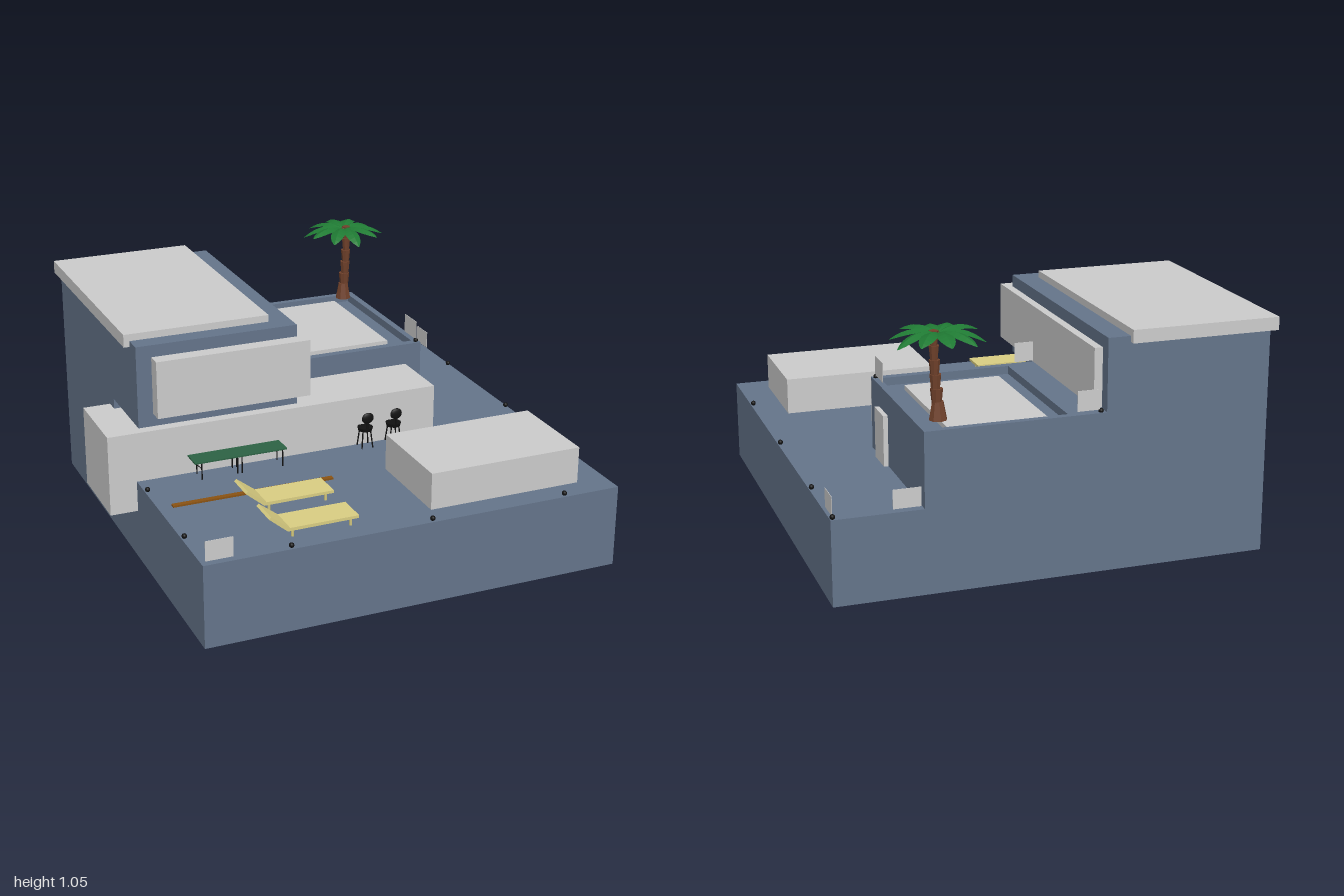
import * as THREE from 'three';

const mat = (color, extra = {}) => new THREE.MeshStandardMaterial({ color, ...extra });
const GREY = mat(0xcccccc);
const SLATE = mat(0x64748a);
const BLACK = mat(0x111111);
const WOOD = mat(0x8a5212);
const CUSHION = mat(0xd9cd82);
const GREEN = mat(0x2d6244);
const BARK = mat(0x70412b, { flatShading: true });
const LEAF = mat(0x1f7a33, { flatShading: true, side: THREE.DoubleSide });

export function createModel() {
  const model = new THREE.Group();

  const add = (name, geometry, material, parent = model) => {
    const mesh = new THREE.Mesh(geometry, material);
    mesh.name = name;
    parent.add(mesh);
    return mesh;
  };
  // Box given by its limits on each axis
  const block = (name, material, [x0, x1], [y0, y1], [z0, z1], parent) => {
    const mesh = add(name, new THREE.BoxGeometry(x1 - x0, y1 - y0, z1 - z0), material, parent);
    mesh.position.set((x0 + x1) / 2, (y0 + y1) / 2, (z0 + z1) / 2);
    return mesh;
  };
  // Thin rod between two points
  const rod = (name, a, b, r, material, parent) => {
    const curve = new THREE.LineCurve3(new THREE.Vector3(...a), new THREE.Vector3(...b));
    return add(name, new THREE.TubeGeometry(curve, 1, r, 6), material, parent);
  };

  // Plinth and main volumes
  block('plinth', SLATE, [-0.86, 0.975], [0, 0.36], [-0.9, 1]);
  block('lowerHouse', SLATE, [-0.86, 0.6], [0.36, 0.64], [-0.9, -0.12]);
  block('frontWing', GREY, [-0.98, 0.525], [0.225, 0.58], [-0.18, 0.175]);
  block('upperHouse', SLATE, [-0.86, -0.155], [0.625, 0.98], [-0.9, 0.23]);
  block('upperGlazing', GREY, [-0.795, -0.12], [0.68, 0.928], [-0.845, 0.293]);
  block('upperRoof', GREY, [-0.885, -0.25], [0.955, 1.01], [-0.925, 0.15]);
  block('pool', GREY, [0.157, 0.84], [0.36, 0.52], [0.46, 0.895]);
  block('sideDoor', GREY, [0.59, 0.62], [0.36, 0.58], [-0.375, -0.24]);

  // Parapet around the sunken terrace roof
  const rectangle = (P, x0, x1, z0, z1) => new P([
    new THREE.Vector2(x0, -z0), new THREE.Vector2(x0, -z1),
    new THREE.Vector2(x1, -z1), new THREE.Vector2(x1, -z0)]);
  const rim = rectangle(THREE.Shape, -0.86, 0.6, -0.9, -0.12);
  rim.holes.push(rectangle(THREE.Path, 0, 0.57, -0.87, -0.155));
  const rimGeometry = new THREE.ExtrudeGeometry(rim, { depth: 0.035, bevelEnabled: false });
  add('parapet', rimGeometry.rotateX(-Math.PI / 2), SLATE).position.y = 0.64;
  block('roofPanel', GREY, [0.07, 0.487], [0.64, 0.66], [-0.845, -0.235]);

  // Railing panels
  const t = 0.001;
  const panels = [
    [[-0.845, -0.73], [0.37, 0.455], [0.985 - t, 0.985 + t]],
    [[0.965 - t, 0.965 + t], [0.37, 0.45], [-0.885, -0.775]],
    [[0.61, 0.725], [0.37, 0.45], [-0.887 - t, -0.887 + t]],
    [[-0.13, -0.035], [0.685, 0.77], [-0.885 - t, -0.885 + t]],
    [[-0.13, -0.035], [0.685, 0.77], [-0.14 - t, -0.14 + t]],
    [[0.585 - t, 0.585 + t], [0.685, 0.77], [-0.255, -0.135]],
  ];
  for (const p of panels) block('railingPanel', GREY, ...p);

  // Round lamps along the edges
  const lamps = [
    [0.965, 0.37, -0.89], [0.965, 0.37, -0.54], [0.965, 0.37, 0.045], [0.965, 0.37, 0.635],
    [-0.49, 0.37, 0.985], [0.12, 0.37, 0.985], [0.725, 0.37, 0.985],
    [-0.848, 0.37, 0.285], [-0.848, 0.37, 0.75],
    [-0.135, 0.68, -0.885], [0.585, 0.68, -0.14],
  ];
  for (const p of lamps) {
    add('edgeLamp', new THREE.SphereGeometry(0.011, 10, 8), BLACK).position.set(...p);
  }

  // Wooden strip and loungers
  block('woodStrip', WOOD, [-0.8, -0.09], [0.36, 0.368], [0.45, 0.473]);
  const profile = new THREE.Shape([
    [-0.555, 0.458], [-0.545, 0.466], [-0.465, 0.405], [-0.17, 0.405],
    [-0.17, 0.393], [-0.475, 0.391]].map(p => new THREE.Vector2(...p)).reverse());
  for (const z of [0.525, 0.777]) {
    const lounger = new THREE.Group();
    lounger.name = 'lounger';
    model.add(lounger);
    const seat = new THREE.ExtrudeGeometry(profile, { depth: 0.134, bevelEnabled: false });
    add('loungerSeat', seat, CUSHION, lounger).position.z = z;
    for (const x of [-0.45, -0.2]) {
      for (const dz of [0.015, 0.119]) {
        rod('loungerLeg', [x, 0.36, z + dz], [x, 0.395, z + dz], 0.006, CUSHION, lounger);
      }
    }
  }

  // Games table
  const table = new THREE.Group();
  table.name = 'gamesTable';
  model.add(table);
  block('tableTop', GREEN, [-0.635, -0.22], [0.44, 0.446], [0.18, 0.275], table);
  for (const z of [0.195, 0.26]) {
    for (const x of [-0.6, -0.44, -0.42, -0.235]) {
      rod('tableLeg', [x, 0.36, z], [x, 0.442, z], 0.003, BLACK, table);
    }
    rod('tableBrace', [-0.6, 0.41, z], [-0.63, 0.44, z], 0.002, BLACK, table);
  }

  // Bar stools with round backs
  for (const x of [0.177, 0.313]) {
    const stool = new THREE.Group();
    stool.name = 'barStool';
    stool.position.set(x, 0.36, 0.205);
    model.add(stool);
    add('stoolSeat', new THREE.CylinderGeometry(0.034, 0.03, 0.016, 20), BLACK, stool).position.y = 0.085;
    const back = add('stoolBack', new THREE.SphereGeometry(0.028, 16, 10), BLACK, stool);
    back.scale.set(1, 0.9, 0.35);
    back.position.set(0, 0.142, 0.026);
    rod('backPost', [0, 0.085, 0.028], [0, 0.13, 0.028], 0.005, BLACK, stool);
    for (const sx of [-1, 1]) {
      for (const sz of [-1, 1]) {
        rod('stoolLeg', [sx * 0.026, 0, sz * 0.026], [sx * 0.018, 0.08, sz * 0.018], 0.003, BLACK, stool);
      }
    }
  }

  // Palm: stacked flared trunk rings, each wider at its top
  const palm = new THREE.Group();
  palm.name = 'palm';
  palm.position.set(0.512, 0.69, -0.805);
  model.add(palm);
  const rings = 6;
  for (let i = 0; i < rings; i++) {
    const r = 0.027 - i * 0.0015;
    const geometry = i === 0
      ? new THREE.CylinderGeometry(0.023, 0.037, 0.075, 8)
      : new THREE.CylinderGeometry(r, r - 0.006, 0.062, 8);
    const ring = add('trunkRing', geometry, BARK, palm);
    ring.position.set(0.003 + 0.014 * Math.sin(i / 3), 0.035 + i * 0.058, 0);
    ring.rotation.y = i * 0.4;
  }

  // Palm fronds: folded petals that rise, then droop
  const fronds = 10;
  for (let i = 0; i < fronds; i++) {
    const geometry = new THREE.PlaneGeometry(1, 1, 8, 2);
    const p = geometry.attributes.position;
    const droop = 0.048 + 0.012 * (i % 3);
    for (let k = 0; k < p.count; k++) {
      const u = p.getX(k) + 0.5, v = p.getY(k) * 2;
      const half = 0.033 * Math.pow(Math.sin(Math.PI * Math.pow(u, 1.2) * 0.97 + 0.06), 0.75);
      const y = 0.345 + 0.09 * u - (0.055 + droop) * u * u - Math.abs(v) * half * 0.35;
      p.setXYZ(k, 0.187 * u, y, -v * half);
    }
    geometry.computeVertexNormals();
    const frond = add('frond', geometry, LEAF, palm);
    frond.rotation.y = (i / fronds) * Math.PI * 2 + Math.PI / 2;
  }
  add('crownHeart', new THREE.SphereGeometry(0.018, 8, 6), BARK, palm).position.set(0.008, 0.338, 0);

  return model;
}
